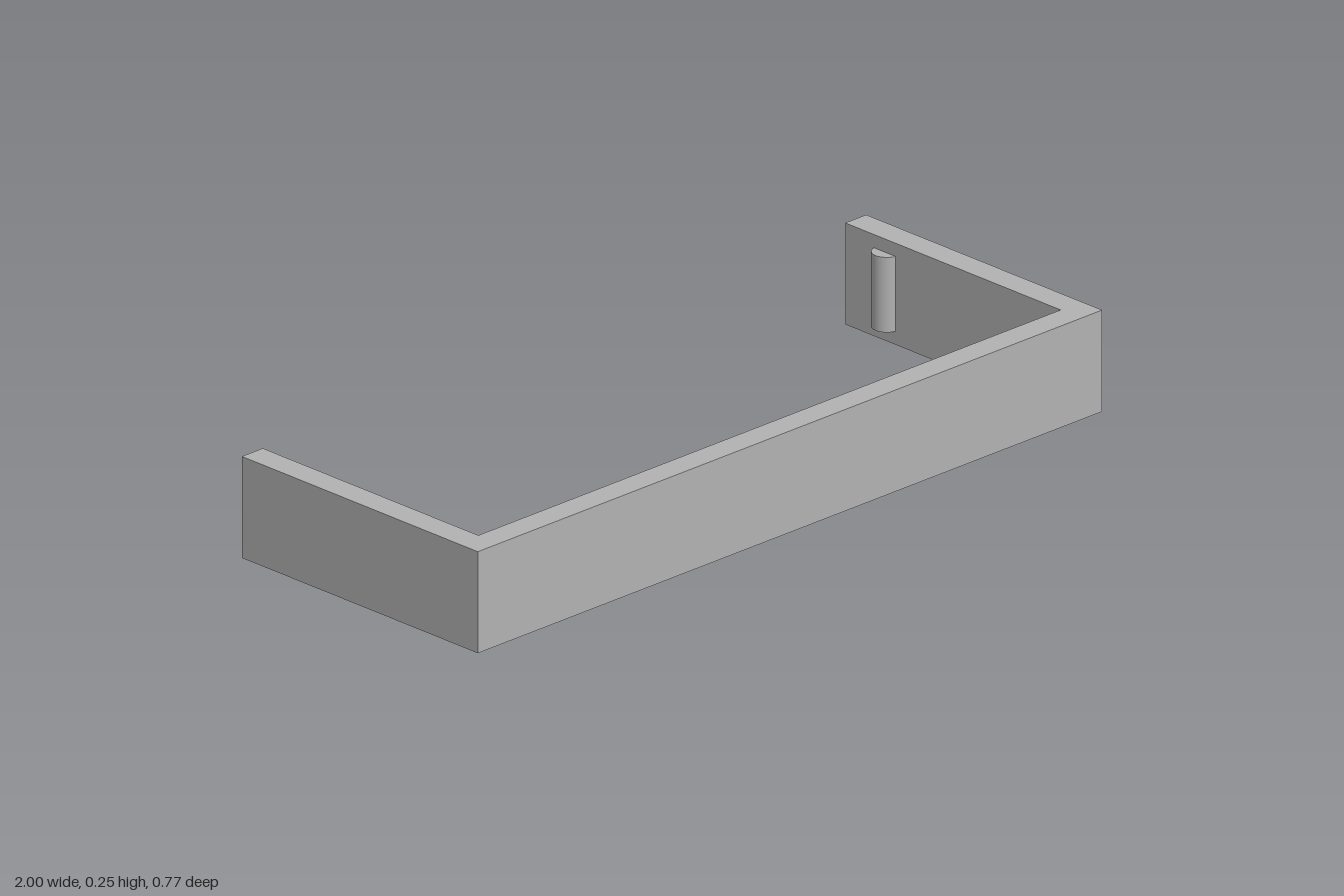
import * as THREE from 'three';

export function createModel() {
  const group = new THREE.Group();
  const grey = new THREE.MeshStandardMaterial({ color: 0xb2b2b2 });
  grey.name = 'grey';

  const height = 0.253, depth = 0.386, wall = 0.067;

  // U-shaped bracket, drawn in plan (shape y = -z) and raised upward
  const inner = 1 - wall;
  const plan = new THREE.Shape([
    [-1, -depth], [1, -depth], [1, depth], [inner, depth],
    [inner, -depth + wall], [-inner, -depth + wall], [-inner, depth], [-1, depth],
  ].map(([x, y]) => new THREE.Vector2(x, y)));
  const bracketGeometry = new THREE.ExtrudeGeometry(plan, { depth: height, bevelEnabled: false });
  bracketGeometry.rotateX(-Math.PI / 2);
  const bracket = new THREE.Mesh(bracketGeometry, grey);
  bracket.name = 'bracket';
  group.add(bracket);

  // Round retaining pegs half sunk into the inside of each arm
  const pegGeometry = new THREE.CylinderGeometry(0.036, 0.036, 0.187, 40);
  for (const side of [-1, 1]) {
    const peg = new THREE.Mesh(pegGeometry, grey);
    peg.name = side > 0 ? 'leftPeg' : 'rightPeg';
    peg.position.set(side * 0.94, height / 2, -0.257);
    group.add(peg);
  }
  return group;
}
